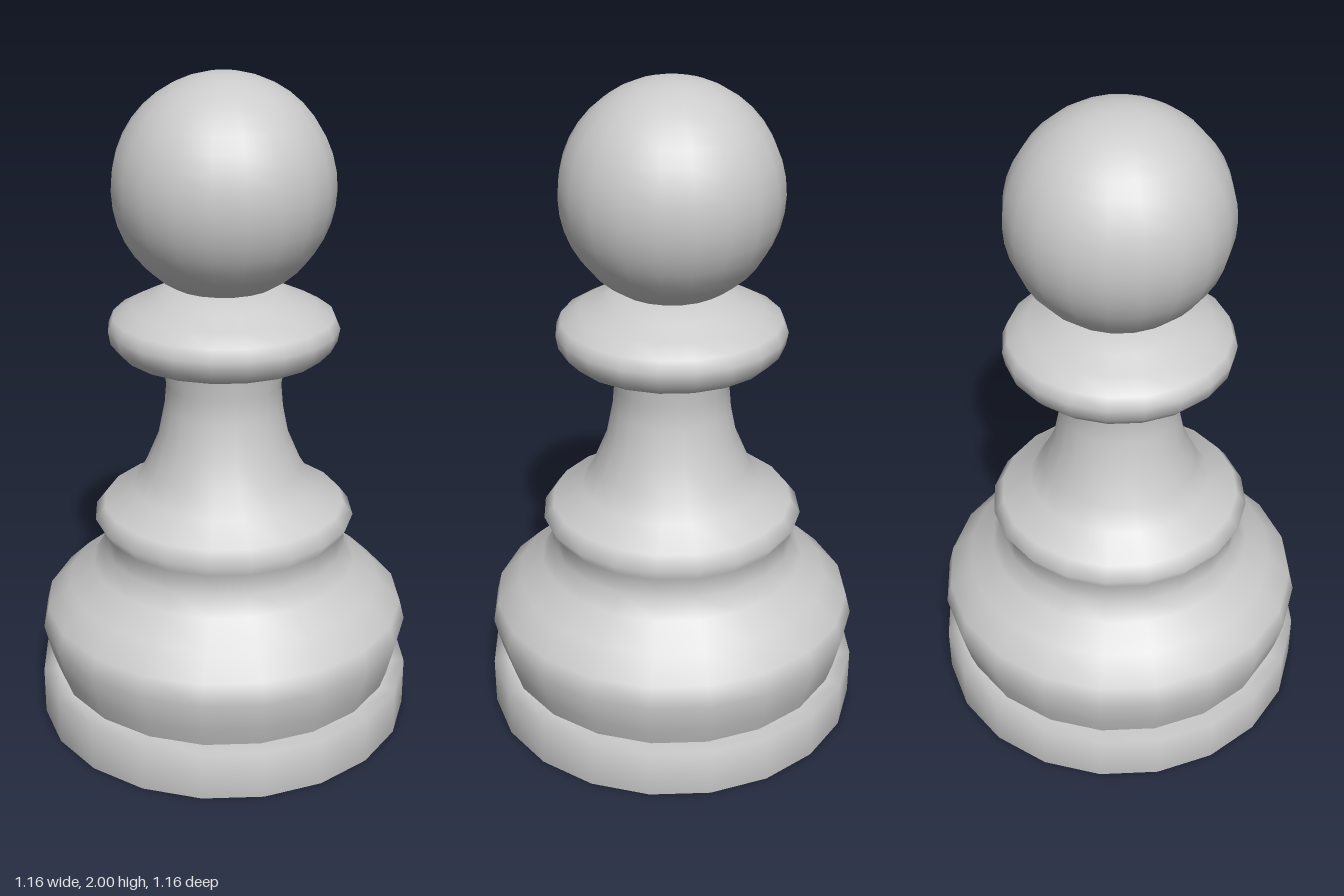
import * as THREE from 'three';

const SIDES = 20;
const material = new THREE.MeshStandardMaterial({ color: 0xcccccc });

// Smooth turned part from [radius, height] pairs, listed bottom to top
function turned(name, profile) {
  const points = profile.map(([r, y]) => new THREE.Vector2(r, y));
  const mesh = new THREE.Mesh(new THREE.LatheGeometry(points, SIDES), material);
  mesh.name = name;
  return mesh;
}

export function createModel() {
  const pawn = new THREE.Group();
  pawn.name = 'chessPawn';

  // Flat foot, with a narrow ring keeping the underside evenly shaded
  pawn.add(turned('base', [
    [0, 0], [0.56, 0], [0.58, 0], [0.58, 0.15], [0.53, 0.15], [0.48, 0.15],
  ]));

  // Bulge, waist ring and tapering neck
  pawn.add(turned('body', [
    [0.53, 0.15], [0.55, 0.21], [0.573, 0.305], [0.557, 0.37], [0.485, 0.44],
    [0.41, 0.5], [0.375, 0.555], [0.375, 0.62], [0.4, 0.66], [0.37, 0.7],
    [0.28, 0.75], [0.24, 0.815], [0.2, 0.91], [0.18, 1.01], [0.174, 1.08],
    [0.19, 1.18],
  ]));

  // Collar under the head
  pawn.add(turned('collar', [
    [0.16, 1.175], [0.2, 1.175], [0.305, 1.185], [0.338, 1.22], [0.345, 1.26],
    [0.33, 1.295], [0.275, 1.325], [0.21, 1.355], [0.15, 1.39], [0, 1.4],
  ]));

  // Ball head
  const head = new THREE.Mesh(new THREE.SphereGeometry(0.325, SIDES, SIDES), material);
  head.name = 'head';
  head.position.y = 1.675;
  pawn.add(head);

  return pawn;
}
